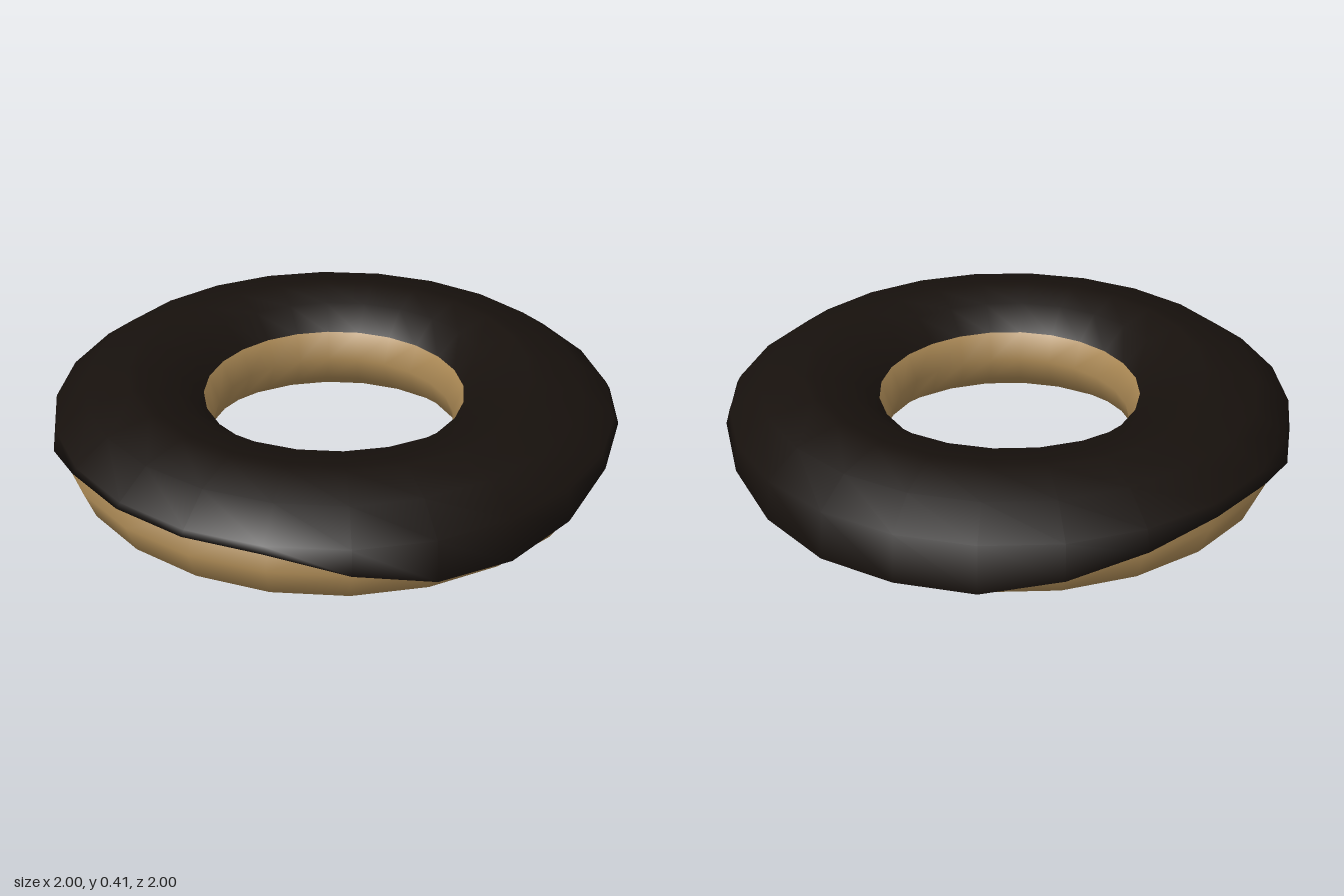
import * as THREE from 'three';
import { mergeVertices } from 'three/addons/utils/BufferGeometryUtils.js';

const SEGMENTS = 24;
const RING = 0.7, TUBE = 0.27, HALF_HEIGHT = 0.2;

// Height of the icing's wavy lower edge, every 15 degrees from +z towards +x
const EDGE = [
  0.285, 0.22, 0.165, 0.16, 0.19, 0.25, 0.28, 0.275, 0.25, 0.21, 0.165, 0.14,
  0.14, 0.14, 0.18, 0.23, 0.265, 0.26, 0.2, 0.19, 0.23, 0.287, 0.287, 0.286,
];

// Radius of the dough's outer side at height y
const doughRadius = (y) =>
  RING + TUBE * Math.sqrt(1 - ((y - HALF_HEIGHT) / HALF_HEIGHT) ** 2);

// Flattened ring of dough
function makeDough() {
  const geometry = new THREE.TorusGeometry(RING, TUBE, 12, SEGMENTS);
  geometry.rotateX(Math.PI / 2);
  geometry.scale(1, HALF_HEIGHT / TUBE, 1);
  geometry.translate(0, HALF_HEIGHT, 0);
  const mesh = new THREE.Mesh(geometry, new THREE.MeshStandardMaterial({ color: 0xaa8854 }));
  mesh.name = 'dough';
  return mesh;
}

// Icing shell: a lathe whose two lowest rings follow the wavy edge
function makeIcing() {
  const profile = [
    [0.95, 0.2], [1.0, 0.2], [0.982, 0.302], [0.87, 0.38], [0.72, 0.408],
    [0.69, 0.408], [0.56, 0.381], [0.464, 0.302],
  ].map(([r, y]) => new THREE.Vector2(r, y));
  let geometry = new THREE.LatheGeometry(profile, SEGMENTS);
  const position = geometry.attributes.position;
  for (let i = 0; i <= SEGMENTS; i++) {
    const angle = (i % SEGMENTS) / SEGMENTS * Math.PI * 2;
    const y = EDGE[i % SEGMENTS];
    [doughRadius(y) - 0.01, 0.998].forEach((r, j) => {
      position.setXYZ(i * profile.length + j, r * Math.sin(angle), y, r * Math.cos(angle));
    });
  }
  // Weld the seam so the shading is smooth all round
  geometry.deleteAttribute('uv');
  geometry.deleteAttribute('normal');
  geometry = mergeVertices(geometry, 1e-4);
  geometry.computeVertexNormals();
  const mesh = new THREE.Mesh(
    geometry,
    new THREE.MeshStandardMaterial({ color: 0x17110d, side: THREE.DoubleSide }),
  );
  mesh.name = 'icing';
  return mesh;
}

export function createModel() {
  const model = new THREE.Group();
  model.name = 'doughnut';
  model.add(makeDough(), makeIcing());
  return model;
}
